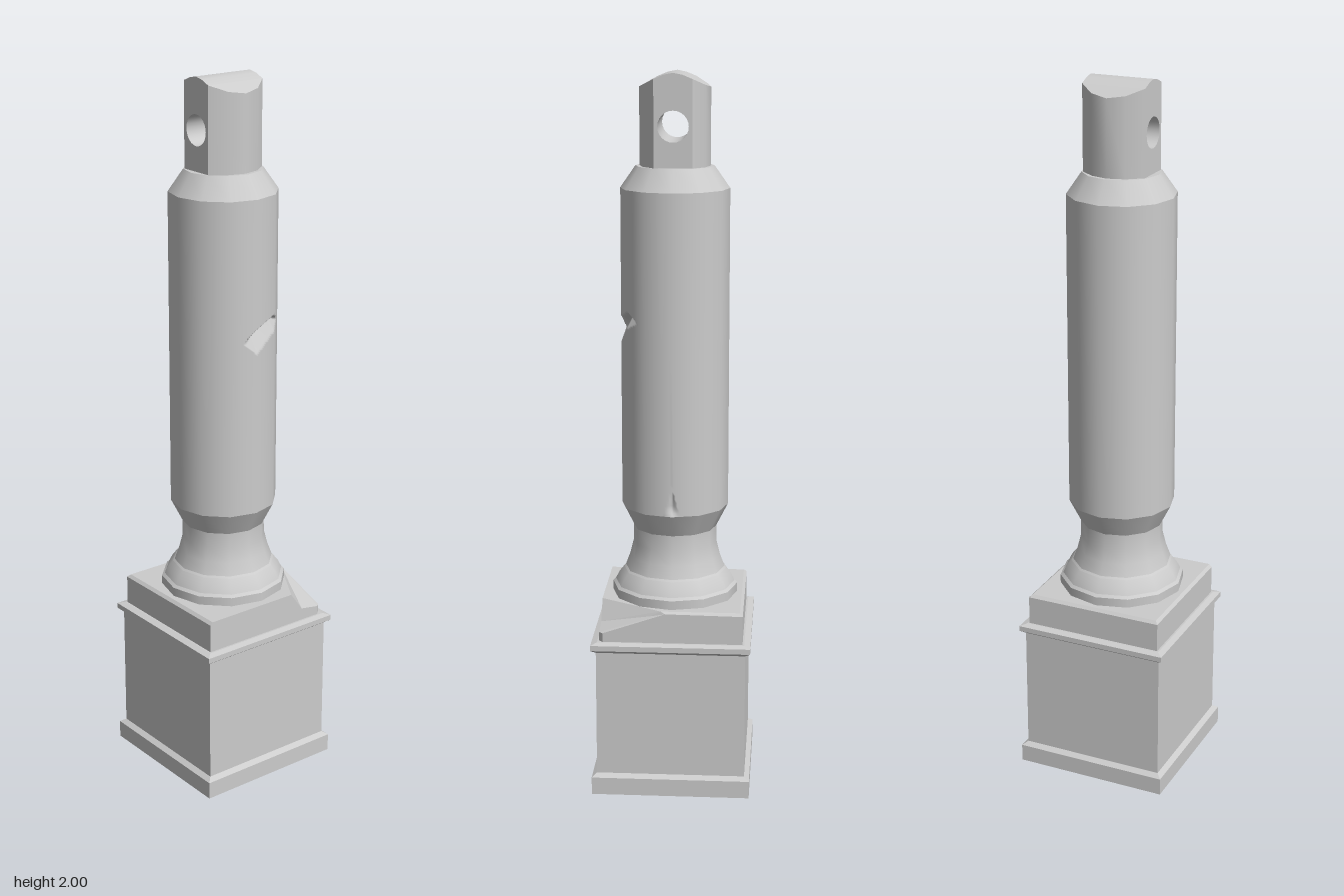
import * as THREE from 'three';
import { ConvexGeometry } from 'three/addons/geometries/ConvexGeometry.js';
import { toCreasedNormals } from 'three/addons/utils/BufferGeometryUtils.js';

const V = (x, y, z) => new THREE.Vector3(x, y, z);

// Piecewise linear lookup through [x, y] points
function lerpPoints(pts, x) {
  for (let i = 1; i < pts.length; i++) {
    const [x0, y0] = pts[i - 1], [x1, y1] = pts[i];
    if (x >= x0 && x <= x1) return y0 + (y1 - y0) * (x - x0) / (x1 - x0);
  }
  return null;
}

function lathe(pts, sides) {
  return new THREE.LatheGeometry(pts.map(([r, y]) => new THREE.Vector2(r, y)), sides);
}

// Depth of the chipped gouge on the front and the small crack on the left
const gougeTop = [[-0.04, 1.297], [0, 1.335], [0.08, 1.36], [0.11, 1.332]];
const gougeBottom = [[-0.04, 1.297], [0, 1.262], [0.11, 1.332]];
function damage(x, y, z) {
  const top = lerpPoints(gougeTop, x), bottom = lerpPoints(gougeBottom, x);
  if (z > 0 && top !== null) {
    const d = Math.min(1.8 * (top - y), 0.6 * (y - bottom));
    if (d > 0) return d;
  }
  if (x > 0 && y > 0.8 && y < 0.89) {
    const width = 0.022 * (0.89 - y) / 0.09;
    return Math.max(0, 0.012 * (1 - Math.abs(z) / width)) * Math.min(1, (y - 0.8) / 0.02);
  }
  return 0;
}

// Twelve-sided shaft, finely divided where it is damaged
function shaftGeometry() {
  const R = 0.15, rows = [];
  for (let y = 0.8; y < 0.895; y += 0.01) rows.push([R, y]);
  for (let y = 1.255; y < 1.366; y += 0.004) rows.push([R, y]);
  rows.push([R, 1.69]);
  const geo = lathe(rows, 180), p = geo.attributes.position;
  const step = Math.PI / 6, intact = [];
  for (let i = 0; i < p.count; i++) {
    const a = Math.atan2(p.getX(i), p.getZ(i)) + Math.PI * 2;
    const r = R * Math.cos(step / 2) / Math.cos((a + 1e-6) % step - step / 2);
    const y = p.getY(i), d = damage(r * Math.sin(a), y, r * Math.cos(a));
    p.setXYZ(i, (r - d) * Math.sin(a), y, (r - d) * Math.cos(a));
    if (d === 0) intact.push([i, a]);
  }
  geo.computeVertexNormals();
  for (const [i, a] of intact) geo.attributes.normal.setXYZ(i, Math.sin(a), 0, Math.cos(a));
  return geo;
}

export function createModel() {
  const model = new THREE.Group();
  const material = new THREE.MeshStandardMaterial({ color: 0xcccccc });
  const add = (name, geo, parent = model) => {
    const mesh = new THREE.Mesh(geo, material);
    mesh.name = name;
    parent.add(mesh);
    return mesh;
  };

  // Square pedestal with a foot and a cap moulding
  const half = [[0, 0], [0.222, 0], [0.222, 0.05], [0.208, 0.06], [0.208, 0.42],
    [0.222, 0.43], [0.222, 0.445], [0.205, 0.45], [0, 0.45]];
  const pedestal = lathe(half.map(([w, y]) => [w * Math.SQRT2, y]), 4).rotateY(Math.PI / 4).toNonIndexed();
  pedestal.computeVertexNormals();
  add('pedestal', pedestal);

  // Slab with its front left corner broken off
  const slab = new THREE.Group();
  slab.name = 'slab';
  model.add(slab);
  add('slabBody', new ConvexGeometry([
    V(-0.192, 0.54, -0.192), V(0.192, 0.54, -0.192), V(0.192, 0.54, 0.028), V(0.09, 0.54, 0.2), V(-0.192, 0.54, 0.2),
    V(-0.2, 0.532, -0.2), V(0.2, 0.532, -0.2), V(0.2, 0.535, 0.015), V(-0.2, 0.532, 0.2),
    V(-0.2, 0.445, -0.2), V(0.2, 0.445, -0.2), V(0.2, 0.445, 0.06), V(0.155, 0.445, 0.2),
    V(0.13, 0.485, 0.2), V(-0.2, 0.445, 0.2),
  ]), slab);
  add('brokenCorner', new ConvexGeometry([
    V(0.2, 0.535, 0.015), V(0.2, 0.48, 0.17), V(0.13, 0.485, 0.2), V(0.2, 0.475, 0.19), V(0.19, 0.475, 0.2),
    V(0.2, 0.445, 0.015), V(0.2, 0.445, 0.19), V(0.19, 0.445, 0.2), V(0.13, 0.445, 0.2),
  ]), slab);

  // Turned column: separate bands keep the edges between them sharp
  const bands = {
    baseRing: [[0.178, 0.535], [0.178, 0.565]],
    baseStep: [[0.178, 0.565], [0.17, 0.572]],
    baseMoulding: [[0.17, 0.572], [0.16, 0.592], [0.146, 0.61]],
    neckStep: [[0.146, 0.61], [0.141, 0.615]],
    neck: [[0.141, 0.615], [0.128, 0.65], [0.118, 0.69], [0.117, 0.735]],
    flare: [[0.117, 0.735], [0.15, 0.8]],
    shoulder: [[0.15, 1.69], [0.108, 1.75]],
    shoulderTop: [[0.108, 1.75], [0, 1.75]],
  };
  for (const [name, pts] of Object.entries(bands)) add(name, lathe(pts, 12));
  add('shaft', shaftGeometry());

  // Tenon: pierced flat middle, faceted front and back, ridged top
  const tenon = new THREE.Group();
  tenon.name = 'tenon';
  model.add(tenon);
  const w = 0.052, foot = 1.745;
  const outline = new THREE.Shape([[-w, foot], [w, foot], [w, 1.984], [0.025, 1.995], [0, 2],
    [-0.025, 1.995], [-w, 1.984]].map(([x, y]) => new THREE.Vector2(x, y)));
  const hole = new THREE.Path();
  hole.absarc(0, 1.86, 0.042, 0, Math.PI * 2, true);
  outline.holes.push(hole);
  const middle = new THREE.ExtrudeGeometry(outline, { depth: 0.18, bevelEnabled: false, curveSegments: 12 });
  middle.translate(0, 0, -0.09).rotateY(Math.PI / 2);
  add('tenonMiddle', toCreasedNormals(middle, 0.6), tenon);
  for (const s of [1, -1]) {
    const pts = [];
    for (const [x, y, z] of [[0.09, 1.984, w], [0.049, 1.967, 0.084], [0, 1.96, 0.097]]) {
      for (const m of [1, -1]) pts.push(V(m * x, y, s * z), V(m * x, foot, s * z));
    }
    add(s > 0 ? 'tenonFront' : 'tenonBack', toCreasedNormals(new ConvexGeometry(pts), 0.6), tenon);
  }
  return model;
}
